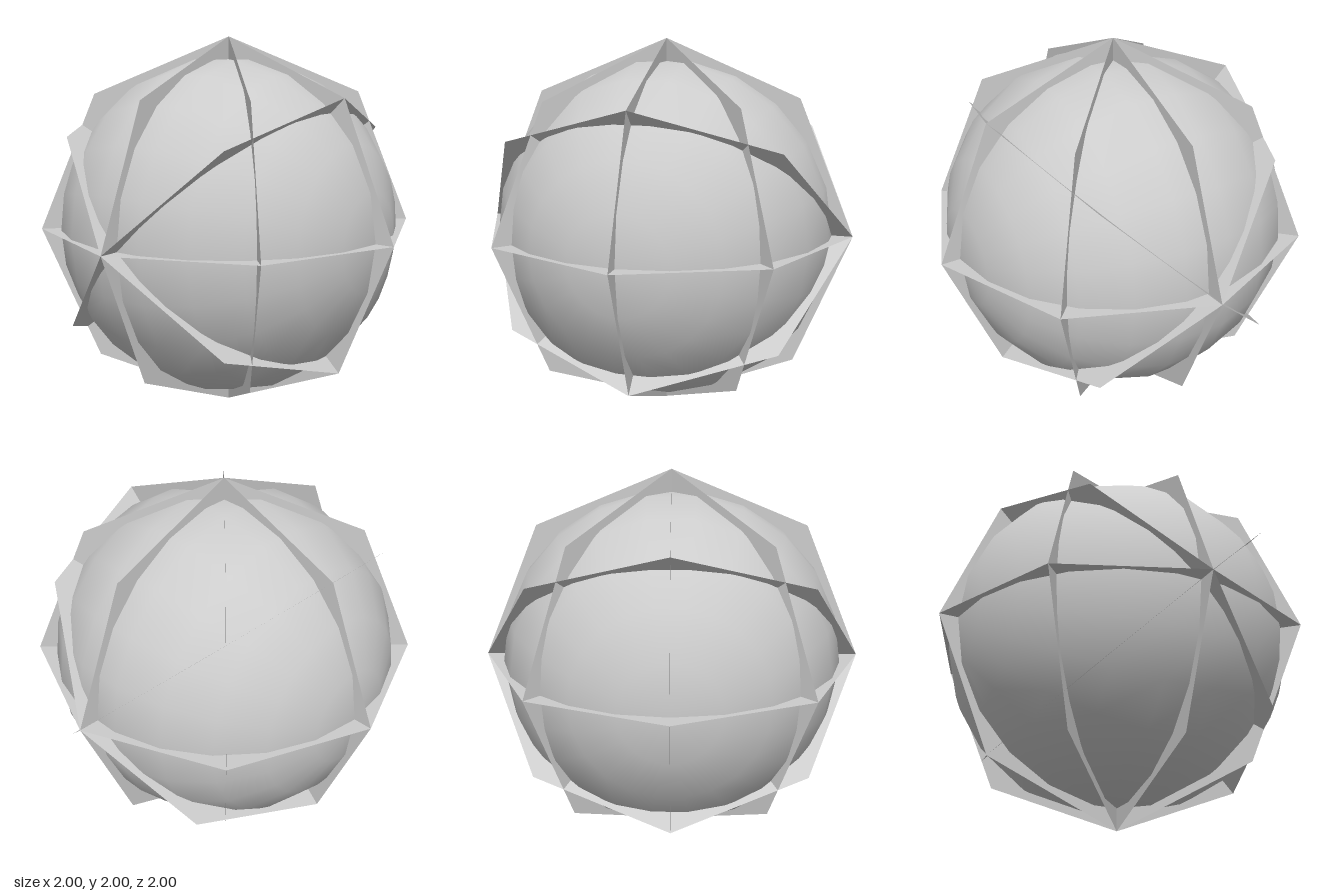
import * as THREE from 'three';

export function createModel() {
  const model = new THREE.Group();
  const grey = new THREE.MeshStandardMaterial({ color: 0xcccccc, side: THREE.DoubleSide });
  grey.name = 'light grey';

  // Smooth ball with its poles facing front and back
  const ball = new THREE.Mesh(new THREE.SphereGeometry(0.9, 22, 11).rotateX(Math.PI / 2), grey);
  ball.name = 'ball';
  ball.position.y = 1;
  model.add(ball);

  // Thin octagonal plates through the centre, their rims standing out of the ball
  const plate = new THREE.CircleGeometry(1, 8);
  const addPlate = (name, tilt, turn) => {
    const mesh = new THREE.Mesh(plate, grey);
    mesh.name = name;
    mesh.position.y = 1;
    mesh.rotation.set(tilt, turn, 0);
    model.add(mesh);
  };

  // Plates hinged on the side-to-side axis (the first is upright)
  for (let i = 0; i < 4; i++) addPlate(`tiltedPlate${i}`, i * Math.PI / 4, 0);
  // Plates hinged on the vertical axis
  for (let i = 1; i < 4; i++) addPlate(`uprightPlate${i}`, 0, i * Math.PI / 4);

  return model;
}
